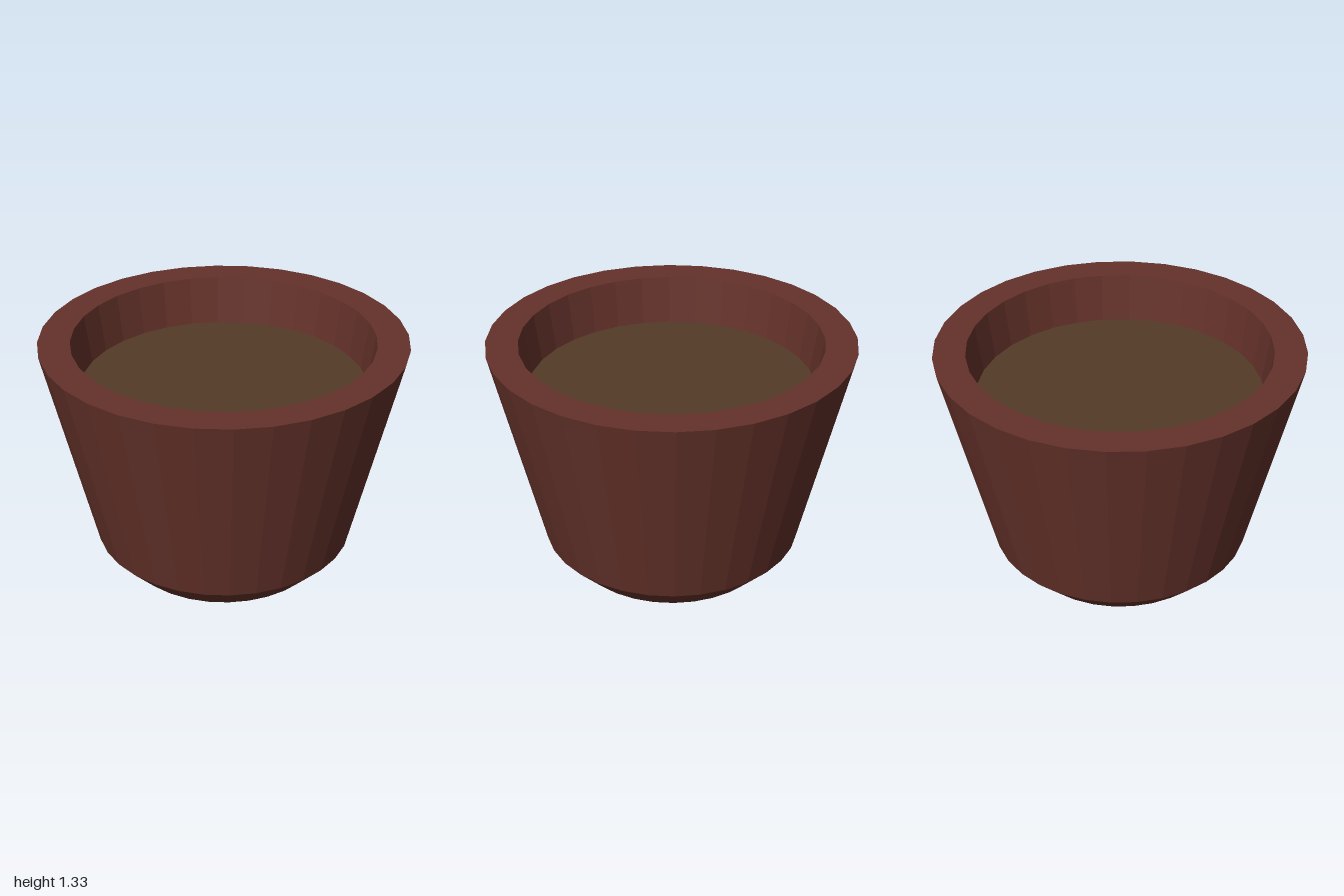
import * as THREE from 'three';

const SIDES = 32;

export function createModel() {
  const model = new THREE.Group();
  model.name = 'plantPot';

  const clay = new THREE.MeshStandardMaterial({ color: 0x65322a, flatShading: true });
  clay.name = 'clay';
  const earth = new THREE.MeshStandardMaterial({ color: 0x533b27, flatShading: true });
  earth.name = 'earth';

  // Pot: base, chamfered foot, flared wall, flat rim and inner wall
  const profile = [
    [0, 0], [0.57, 0], [0.72, 0.155], [1, 1.33], [0.825, 1.33], [0.785, 1.06],
  ].map(([r, y]) => new THREE.Vector2(r, y));
  const pot = new THREE.Mesh(new THREE.LatheGeometry(profile, SIDES), clay);
  pot.name = 'pot';
  model.add(pot);

  // Soil: flat disc closing the inner wall
  const soil = new THREE.Mesh(new THREE.CircleGeometry(0.785, SIDES).rotateX(-Math.PI / 2), earth);
  soil.position.y = 1.06;
  soil.name = 'soil';
  model.add(soil);

  return model;
}
